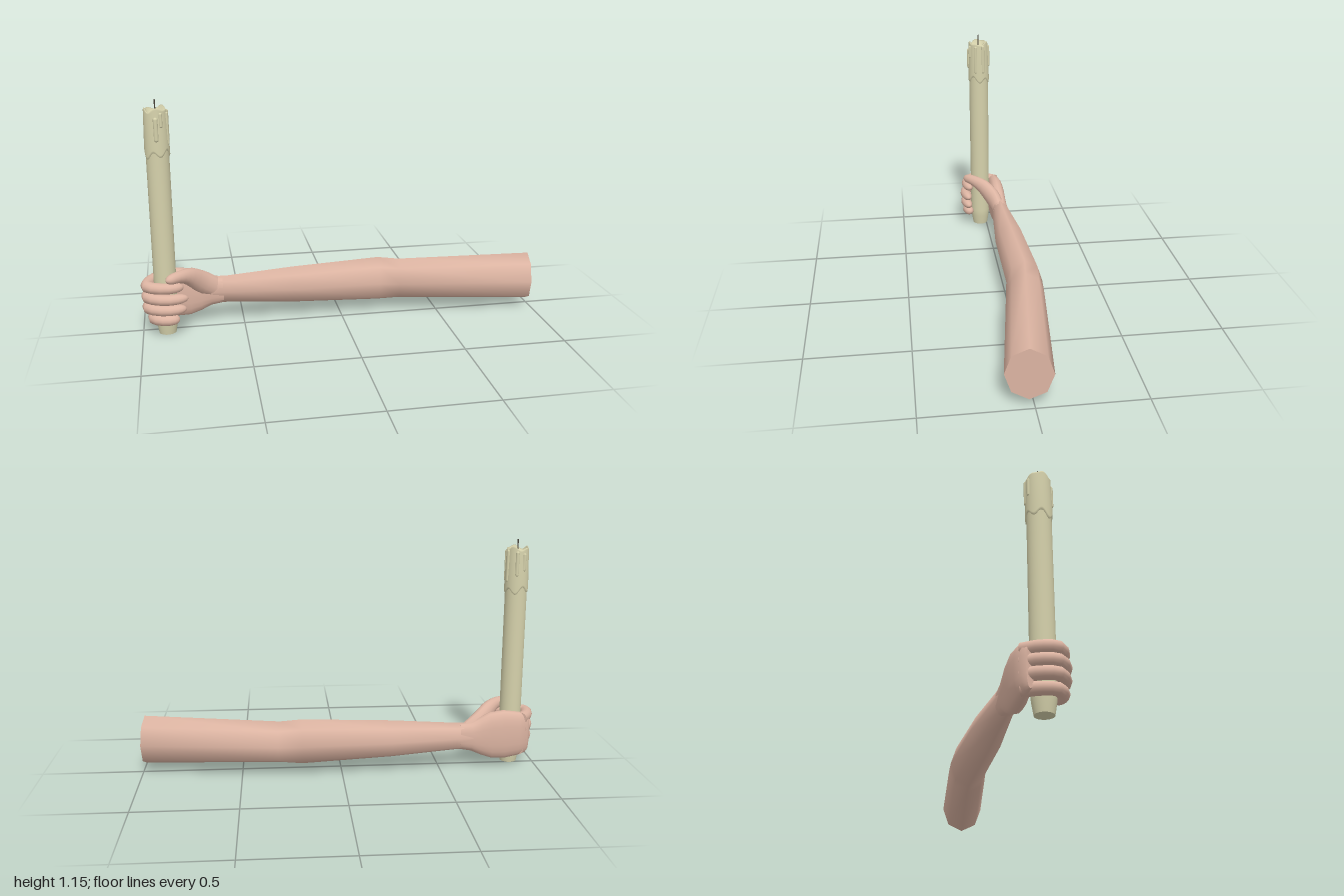
import * as THREE from 'three';

const skin = new THREE.MeshStandardMaterial({ color: 0xdcb4a2 });
skin.name = 'skin';
const wax = new THREE.MeshStandardMaterial({ color: 0xd5d1ab });
wax.name = 'wax';
const char = new THREE.MeshStandardMaterial({ color: 0x4a453c });
char.name = 'wick';

// Skin a row of cross-sections [x, y, z, halfHeight, halfDepth]; power < 1 makes them boxier.
function loft(sections, sides, power = 1) {
  const centers = sections.map(s => new THREE.Vector3(s[0], s[1], s[2]));
  const pos = [], idx = [], last = sections.length - 1;
  const bend = v => Math.sign(v) * Math.pow(Math.abs(v), power);
  sections.forEach((s, i) => {
    const t = centers[Math.min(i + 1, last)].clone().sub(centers[Math.max(i - 1, 0)]).normalize();
    const up = new THREE.Vector3(0, 1, 0).addScaledVector(t, -t.y).normalize();
    const side = t.clone().cross(up);
    for (let j = 0; j < sides; j++) {
      const a = j / sides * Math.PI * 2;
      const p = centers[i].clone()
        .addScaledVector(up, bend(Math.sin(a)) * s[3])
        .addScaledVector(side, bend(Math.cos(a)) * s[4]);
      pos.push(p.x, p.y, p.z);
    }
  });
  for (let i = 0; i < last; i++) {
    for (let j = 0; j < sides; j++) {
      const k = (j + 1) % sides, a = i * sides, b = a + sides;
      idx.push(a + j, b + j, a + k, b + j, b + k, a + k);
    }
  }
  // flat end caps on their own vertices
  for (const i of [0, last]) {
    const base = pos.length / 3;
    pos.push(...pos.slice(i * sides * 3, (i + 1) * sides * 3), ...centers[i].toArray());
    for (let j = 0; j < sides; j++) {
      const k = (j + 1) % sides;
      idx.push(base + sides, base + (i ? k : j), base + (i ? j : k));
    }
  }
  const g = new THREE.BufferGeometry();
  g.setAttribute('position', new THREE.Float32BufferAttribute(pos, 3));
  g.setIndex(idx);
  g.computeVertexNormals();
  return g;
}

// Round-ended digit along a smooth path of [x, y, z, halfHeight, halfDepth]
function digit(points) {
  const curve = new THREE.CatmullRomCurve3(points.map(p => new THREE.Vector3(p[0], p[1], p[2])));
  const stops = [0, 0.1, 0.2, 0.3, 0.4, 0.5, 0.6, 0.7, 0.8, 0.88, 0.93, 0.965, 0.985, 0.996, 1];
  return loft(stops.map(s => {
    const f = s * (points.length - 1), i = Math.min(Math.floor(f), points.length - 2);
    const round = s > 0.88 ? Math.sqrt(Math.max(0.001, 1 - ((s - 0.88) / 0.12) ** 2)) : 1;
    const size = n => THREE.MathUtils.lerp(points[i][n], points[i + 1][n], f - i) * round;
    return [...curve.getPoint(s).toArray(), size(3), size(4)];
  }), 14);
}

// Closed ring surface from rows of functions angle -> [radius, y]
function ringSurface(rows, sides) {
  const pos = [], idx = [];
  for (const row of rows) {
    for (let j = 0; j < sides; j++) {
      const a = j / sides * Math.PI * 2, [r, y] = row(a);
      pos.push(r * Math.sin(a), y, r * Math.cos(a));
    }
  }
  for (let i = 0; i < rows.length - 1; i++) {
    for (let j = 0; j < sides; j++) {
      const k = (j + 1) % sides, a = i * sides, b = a + sides;
      idx.push(a + j, a + k, b + j, a + k, b + k, b + j);
    }
  }
  const g = new THREE.BufferGeometry();
  g.setAttribute('position', new THREE.Float32BufferAttribute(pos, 3));
  g.setIndex(idx);
  g.computeVertexNormals();
  return g;
}

export function createModel() {
  const model = new THREE.Group();
  const add = (parent, name, geometry, material) => {
    const mesh = new THREE.Mesh(geometry, material);
    mesh.name = name;
    parent.add(mesh);
    return mesh;
  };

  // eight-sided arm from the cut shoulder end to the wrist
  add(model, 'arm', loft([
    [0.985, 0.163, 0.025, 0.125, 0.107],
    [0.31, 0.162, -0.06, 0.107, 0.093],
    [0.2, 0.165, -0.072, 0.116, 0.09],
    [-0.25, 0.166, -0.063, 0.096, 0.08],
    [-0.58, 0.168, -0.057, 0.071, 0.05],
    [-0.68, 0.168, -0.057, 0.073, 0.042],
  ], 8), skin);

  const hand = new THREE.Group();
  hand.name = 'hand';
  model.add(hand);

  // palm behind the candle
  add(hand, 'palm', loft([
    [-0.6, 0.168, -0.057, 0.066, 0.044],
    [-0.66, 0.166, -0.058, 0.075, 0.042],
    [-0.71, 0.166, -0.057, 0.1, 0.043],
    [-0.76, 0.168, -0.055, 0.121, 0.046],
    [-0.83, 0.172, -0.054, 0.127, 0.046],
    [-0.9, 0.173, -0.051, 0.116, 0.04],
    [-0.94, 0.173, -0.043, 0.106, 0.031],
    [-0.955, 0.173, -0.036, 0.095, 0.018],
  ], 20, 0.8), skin);

  // four fingers curled round the candle: [height, left shift, tip x, reach]
  [[0.255, 0, -0.795, -0.006], [0.2, 0, -0.775, 0.003],
    [0.145, 0.002, -0.785, 0], [0.09, 0.025, -0.82, -0.01]].forEach(([y, dx, tip, dz], i) => {
    add(hand, 'finger' + (i + 1), digit([
      [-0.915 + dx * 0.5, y, -0.06, 0.03, 0.03],
      [-0.958 + dx, y, 0.005, 0.029, 0.03],
      [-0.965 + dx, y, 0.075, 0.028, 0.03],
      [-0.88, y, 0.121 + dz, 0.027, 0.03],
      [tip, y, 0.106 + dz, 0.024, 0.025],
    ]), skin);
  });

  // thumb over the top of the fingers
  add(hand, 'thumb', digit([
    [-0.63, 0.18, -0.052, 0.05, 0.034],
    [-0.7, 0.225, -0.025, 0.057, 0.038],
    [-0.76, 0.276, 0.025, 0.045, 0.034],
    [-0.81, 0.297, 0.075, 0.03, 0.029],
    [-0.875, 0.297, 0.128, 0.024, 0.026],
  ]), skin);

  const candle = new THREE.Group();
  candle.name = 'candle';
  candle.position.set(-0.882, 0, 0.035);
  model.add(candle);

  // tapered base disc and long shaft
  add(candle, 'candleBase', new THREE.CircleGeometry(0.042, 32).rotateX(Math.PI / 2), wax);
  const profile = [[0.042, 0], [0.051, 0.055], [0.054, 0.09], [0.054, 0.93]];
  add(candle, 'candleShaft', new THREE.LatheGeometry(
    profile.map(p => new THREE.Vector2(p[0], p[1])), 32), wax);

  // melted sleeve with a wavy hem, uneven rim and hollow top
  const hem = a => 0.902 + 0.015 * Math.cos(5 * a + 1.6) + 0.006 * Math.sin(2 * a);
  const rim = a => 1.113 + 0.006 * Math.sin(3 * a + 0.5) + 0.005 * Math.cos(5 * a);
  add(candle, 'meltedWax', ringSurface([
    a => [0.052, hem(a)],
    a => [0.0575, hem(a) + 0.001],
    a => [0.059, hem(a) + 0.012],
    a => [0.057, 1.0],
    a => [0.054, rim(a) - 0.008],
    a => [0.051, rim(a)],
    a => [0.046, rim(a) - 0.002],
    a => [0.04, 1.093],
    a => [0.02, 1.083],
    () => [0, 1.081],
  ], 64), wax);

  // wax drips: [angle from front, top, bottom, thickness]
  [[0, 1.08, 0.965, 0.011], [0.45, 1.1, 1.03, 0.008], [1.95, 1.105, 0.945, 0.009],
    [1.2, 1.1, 0.945, 0.008], [2.9, 1.1, 0.975, 0.009], [-2.7, 1.09, 1.0, 0.008]]
    .forEach(([a, top, bottom, r], i) => {
      const drip = add(candle, 'waxDrip' + (i + 1),
        new THREE.CapsuleGeometry(r, top - bottom - 2 * r, 5, 10), wax);
      drip.position.set(0.054 * Math.sin(a), (top + bottom) / 2, 0.054 * Math.cos(a));
    });

  // wick
  add(candle, 'wick', new THREE.CylinderGeometry(0.003, 0.003, 0.08, 8).translate(0, 1.115, 0), char);

  return model;
}
